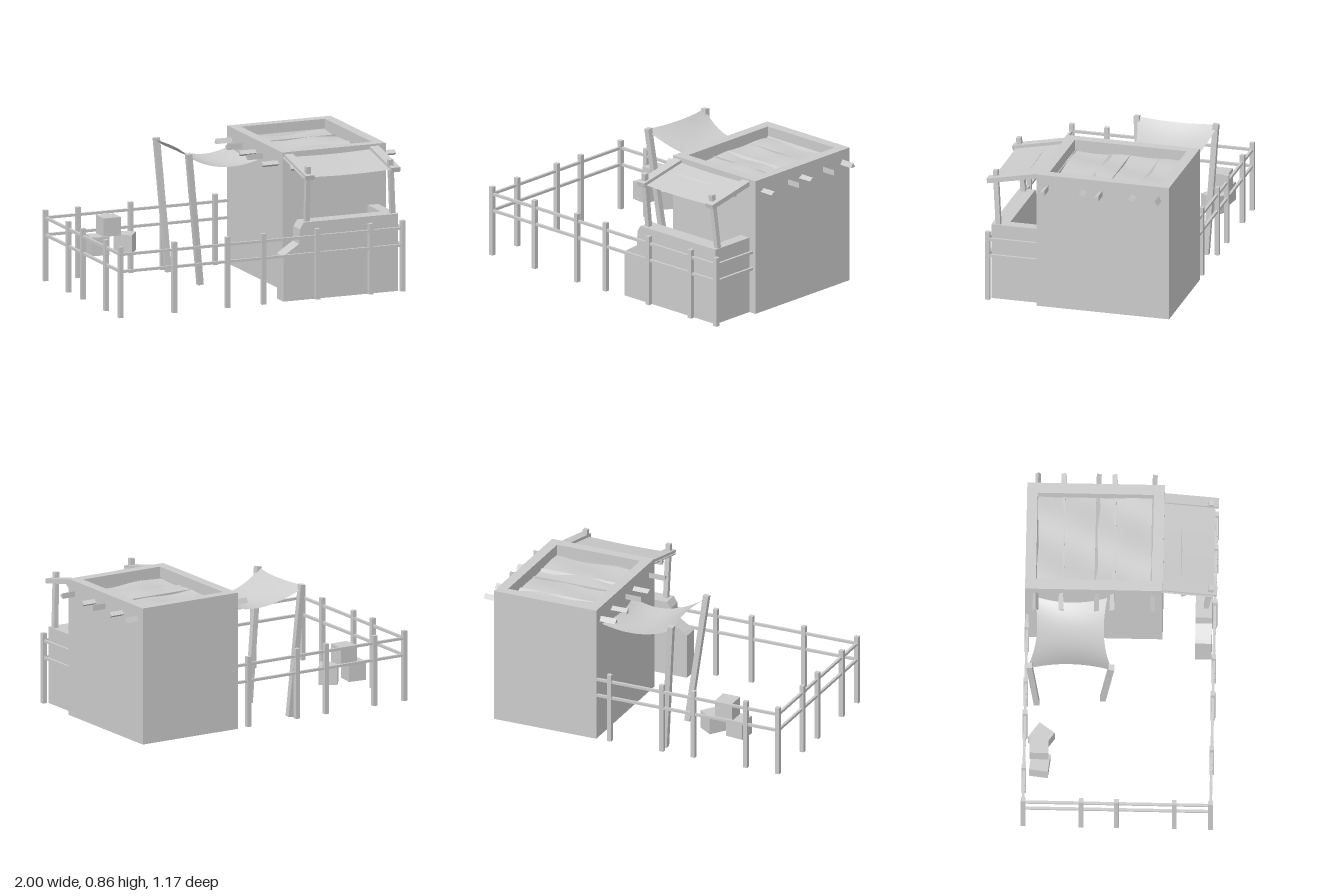
import * as THREE from 'three';

const mat = new THREE.MeshStandardMaterial({ color: 0xcccccc, flatShading: true });
const smoothMat = new THREE.MeshStandardMaterial({ color: 0xcccccc, side: THREE.DoubleSide });
const V = (x, y, z) => new THREE.Vector3(x, y, z);

export function createModel() {
  const model = new THREE.Group();

  const add = (name, geometry, parent = model, material = mat) => {
    const mesh = new THREE.Mesh(geometry, material);
    mesh.name = name;
    parent.add(mesh);
    return mesh;
  };
  const group = (name) => {
    const g = new THREE.Group();
    g.name = name;
    model.add(g);
    return g;
  };
  // Box given by its lower and upper corners
  const block = (name, a, b, parent) => {
    const m = add(name, new THREE.BoxGeometry(b[0] - a[0], b[1] - a[1], b[2] - a[2]), parent);
    m.position.set((a[0] + b[0]) / 2, (a[1] + b[1]) / 2, (a[2] + b[2]) / 2);
    return m;
  };
  // Square timber running between two points
  const timber = (name, a, b, size, parent) => {
    const d = b.clone().sub(a);
    const m = add(name, new THREE.BoxGeometry(size, d.length(), size), parent);
    m.position.copy(a).add(b).multiplyScalar(0.5);
    m.quaternion.setFromUnitVectors(V(0, 1, 0), d.normalize());
    return m;
  };
  // Bent sheet: fn(u, v) gives a point, u and v in 0..1, facing up
  const sheet = (name, fn, nu, nv, parent) => {
    const g = new THREE.PlaneGeometry(1, 1, nu, nv);
    const p = g.attributes.position;
    for (let i = 0; i < p.count; i++) {
      const q = fn(p.getX(i) + 0.5, 0.5 - p.getY(i));
      p.setXYZ(i, q.x, q.y, q.z);
    }
    g.computeVertexNormals();
    return add(name, g, parent, smoothMat);
  };

  // House: solid body with a parapet around the sunken roof
  const house = group('house');
  block('houseBody', [0.225, 0, -0.58], [0.91, 0.74, 0.255], house);
  const rim = new THREE.Shape([[0.225, -0.255], [0.91, -0.255], [0.91, 0.58], [0.225, 0.58]]
    .map(([x, y]) => new THREE.Vector2(x, y)));
  rim.holes.push(new THREE.Path([[0.29, -0.19], [0.29, 0.515], [0.845, 0.515], [0.845, -0.19]]
    .map(([x, y]) => new THREE.Vector2(x, y))));
  const rimGeometry = new THREE.ExtrudeGeometry(rim, { depth: 0.115, bevelEnabled: false });
  rimGeometry.rotateX(-Math.PI / 2);
  add('parapet', rimGeometry, house).position.y = 0.74;
  sheet('sunkenRoof', (u, v) => V(
    0.29 + 0.555 * u,
    0.785 + 0.005 * Math.sin(u * 9 + v * 5) + 0.004 * Math.sin(v * 14 - u * 4),
    -0.515 + 0.705 * v), 20, 24, house);

  // Three-sided roof beams poking through both side walls
  [[0.19, 0.5], [-0.045, -0.5], [-0.15, 0.5], [-0.355, -0.5], [-0.515, 0]].forEach(([z, turn]) => {
    const g = new THREE.CylinderGeometry(0.02, 0.02, 0.88, 3);
    g.rotateY(Math.PI / 2 + turn);
    g.rotateZ(Math.PI / 2);
    add('roofBeam', g, house).position.set(0.56, 0.775, z);
  });

  // Low porch wall: stepped front and a plain side
  const porch = group('porchWall');
  const front = new THREE.Shape([[0.1, 0], [0.86, 0], [0.86, 0.48], [0.235, 0.48],
    [0.21, 0.44], [0.205, 0.35], [0.12, 0.295], [0.1, 0.28]].map(([x, y]) => new THREE.Vector2(x, y)));
  add('porchFront', new THREE.ExtrudeGeometry(front, { depth: 0.1, bevelEnabled: false }), porch)
    .position.z = 0.455;
  block('porchSide', [0.79, 0, 0.255], [0.86, 0.48, 0.455], porch);

  // Sloping porch canopy on two posts
  const canopy = group('porchCanopy');
  const slope = Math.atan2(0.068, 0.33);
  const sloped = (name, x, y, z, w, h, d) => {
    const m = add(name, new THREE.BoxGeometry(w, h, d), canopy);
    m.position.set(x, y, z);
    m.rotation.x = slope;
  };
  sloped('canopyRail', 0.265, 0.794, 0.418, 0.06, 0.03, 0.337);
  sloped('canopyRail', 0.833, 0.794, 0.418, 0.06, 0.03, 0.337);
  sheet('canopyPanel', (u, v) => V(
    0.225 + 0.62 * u,
    0.826 - 0.064 * v - 0.008 * Math.sin(Math.PI * u),
    0.255 + 0.31 * v), 8, 6, canopy);
  const batten = new THREE.CylinderGeometry(0.02, 0.02, 0.62, 3);
  batten.rotateZ(Math.PI / 2);
  const battenMesh = add('canopyBatten', batten, canopy);
  battenMesh.position.set(0.535, 0.782, 0.37);
  battenMesh.rotation.y = 0.025;
  timber('canopyPost', V(0.27, 0.4, 0.512), V(0.265, 0.825, 0.55), 0.03, canopy);
  timber('canopyPost', V(0.845, 0.4, 0.51), V(0.815, 0.82, 0.54), 0.03, canopy);

  // Sagging shade cloth with pulled corners
  const shade = group('shade');
  sheet('shadeCloth', (u, v) => {
    const inU = 4 * u * (1 - u), inV = 4 * v * (1 - v);
    const x = -0.28 + 0.495 * u + 0.035 * inV * (1 - 2 * u);
    const z = -0.56 + 0.52 * v + 0.04 * u * (1 - 2 * v) + 0.035 * inU * (1 - 2 * v);
    return V(x, 0.82 - 0.075 * u - 0.065 * inU - 0.012 * inV * inU, z);
  }, 16, 16, shade);
  timber('shadePole', V(-0.165, 0, -0.1), V(-0.265, 0.83, -0.045), 0.035, shade);
  timber('shadePole', V(-0.2, 0, -0.5), V(-0.26, 0.83, -0.545), 0.035, shade);

  // Post and rail fence around the yard
  const fence = group('fence');
  const posts = [
    ...[-0.985, -0.63, -0.278, -0.04, 0.318, 0.67, 0.883].map((x) => [x, 0.571]),
    ...[-0.985, -0.77, -0.42, -0.21, 0.14].map((x) => [x, -0.567]),
    ...[-0.215, 0, 0.35].map((z) => [-0.985, z]),
  ];
  for (const [x, z] of posts) {
    block('fencePost', [x - 0.014, 0, z - 0.014], [x + 0.014, 0.44, z + 0.014], fence);
  }
  for (const y of [0.286, 0.392]) {
    timber('fenceRail', V(-0.985, y, 0.571), V(0.883, y, 0.571), 0.016, fence);
    timber('fenceRail', V(-0.985, y, -0.567), V(0.225, y, -0.567), 0.016, fence);
    timber('fenceRail', V(-0.985, y, -0.567), V(-0.985, y, 0.571), 0.016, fence);
    timber('fenceRail', V(0.883, y, 0.25), V(0.883, y, 0.571), 0.016, fence);
  }

  // Stack of crates
  const crates = group('crates');
  [[-0.68, 0.217, -0.472, -0.12], [-0.505, 0.217, -0.465, -0.62], [-0.607, 0.33, -0.478, 0]]
    .forEach(([x, y, z, turn]) => {
      const m = add('crate', new THREE.BoxGeometry(0.115, 0.115, 0.115), crates);
      m.position.set(x, y, z);
      m.rotation.y = turn;
    });

  return model;
}
